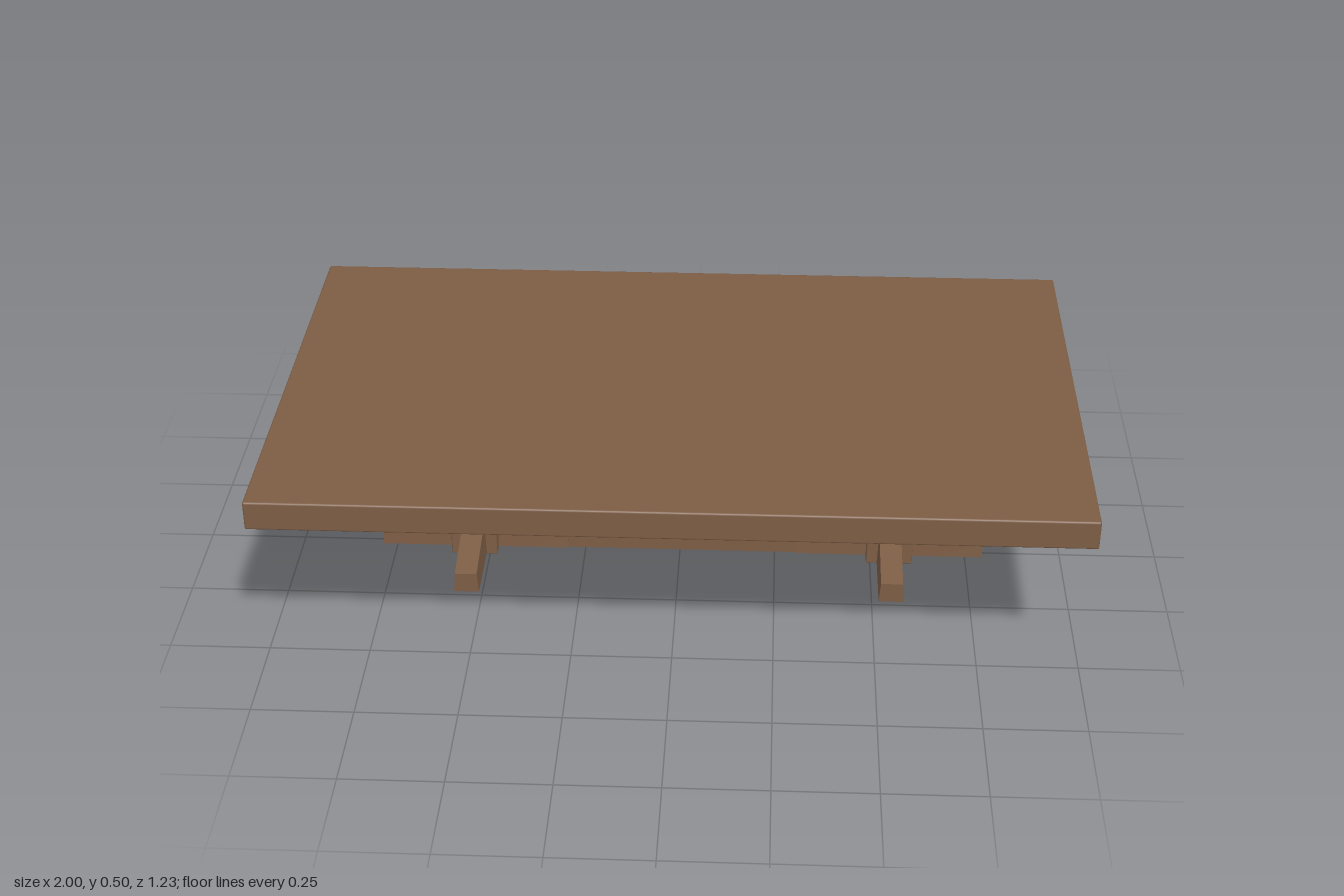
import * as THREE from 'three';
import { RoundedBoxGeometry } from 'three/addons/geometries/RoundedBoxGeometry.js';

export function createModel() {
  const model = new THREE.Group();
  model.name = 'trestleTable';
  const wood = new THREE.MeshStandardMaterial({ color: 0x7d5d45 });
  wood.name = 'brownWood';

  function add(parent, name, geometry, x = 0, y = 0, z = 0) {
    const mesh = new THREE.Mesh(geometry, wood);
    mesh.name = name;
    mesh.position.set(x, y, z);
    parent.add(mesh);
    return mesh;
  }

  // Foot: a block whose top slopes down and whose sides narrow slightly upward
  function footGeometry() {
    const geometry = new THREE.BoxGeometry(0.2, 1, 0.064);
    const p = geometry.attributes.position;
    for (let i = 0; i < p.count; i++) {
      const outer = p.getX(i) > 0;
      const top = p.getY(i) > 0;
      p.setX(i, outer ? 0.245 : 0.045);
      p.setY(i, top ? (outer ? 0.06 : 0.097) : 0.006);
      if (top) p.setZ(i, p.getZ(i) * 0.88);
    }
    geometry.computeVertexNormals();
    return geometry;
  }

  // Tabletop with softly eased edges
  add(model, 'tabletop', new RoundedBoxGeometry(2, 0.075, 1.225, 2, 0.005), 0, 0.4625, 0);

  // Two pedestals, each with a round plate, a square column and four feet
  const foot = footGeometry();
  for (const [name, x] of [['rightPedestal', -0.54], ['leftPedestal', 0.55]]) {
    const pedestal = new THREE.Group();
    pedestal.name = name;
    pedestal.position.x = x;
    model.add(pedestal);
    add(pedestal, 'supportPlate', new THREE.CylinderGeometry(0.275, 0.275, 0.066, 16), 0, 0.393, 0);
    add(pedestal, 'column', new RoundedBoxGeometry(0.12, 0.37, 0.12, 1, 0.003), 0, 0.185, 0);
    for (let i = 0; i < 4; i++) {
      add(pedestal, 'foot', foot, 0, 0, -0.002).rotation.y = i * Math.PI / 2;
    }
  }

  // Low stretcher joining the inner feet
  add(model, 'lowerStretcher', new THREE.BoxGeometry(0.98, 0.053, 0.058), 0.005, 0.0335, -0.002);

  // Slim round rail between the columns
  const rail = new THREE.CylinderGeometry(0.018, 0.018, 1, 8);
  rail.rotateZ(Math.PI / 2);
  add(model, 'upperRail', rail, 0.005, 0.232, 0);

  return model;
}
